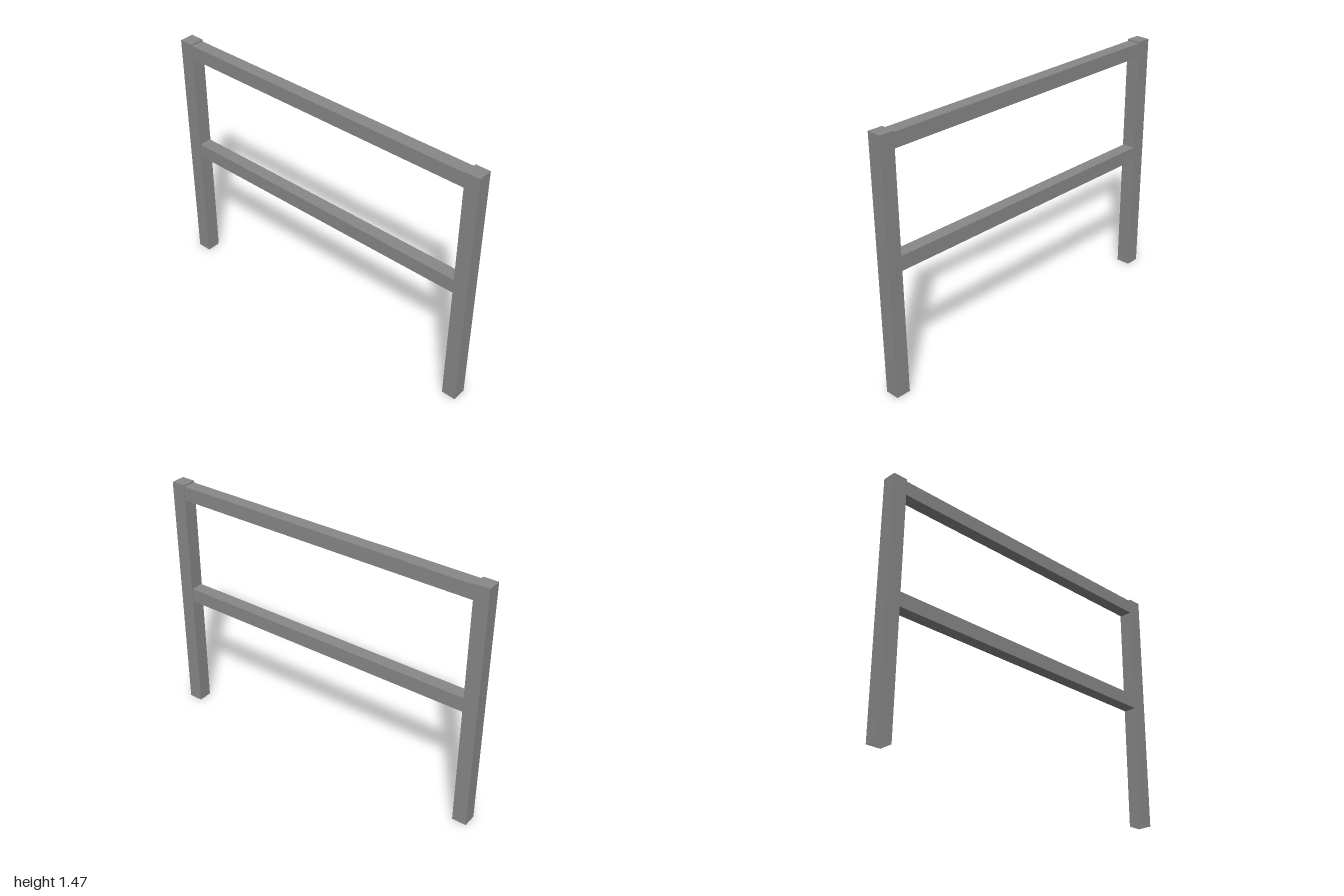
import * as THREE from 'three';

const HALF = 1, HEIGHT = 1.467, POST = 0.084, RAIL_DEPTH = 0.075;

const material = new THREE.MeshStandardMaterial({
  color: 0x888888, side: THREE.DoubleSide,
});

// Box without some faces; sides are numbered +x, -x, +y, -y, +z, -z
function openBox(w, h, d, openSides) {
  const geometry = new THREE.BoxGeometry(w, h, d);
  const index = Array.from(geometry.index.array)
    .filter((_, i) => !openSides.includes(Math.floor(i / 6)));
  geometry.setIndex(index);
  geometry.clearGroups();
  return geometry;
}

function addPart(group, name, geometry, x, y) {
  const mesh = new THREE.Mesh(geometry, material);
  mesh.name = name;
  mesh.position.set(x, y, 0);
  group.add(mesh);
}

export function createModel() {
  const group = new THREE.Group();
  group.name = 'railing';

  // Square posts, open at the foot
  for (const [name, side] of [['leftPost', 1], ['rightPost', -1]]) {
    addPart(group, name, openBox(POST, HEIGHT, POST, [3]),
      side * (HALF - POST / 2), HEIGHT / 2);
  }

  // Rails butting against the inner faces of the posts
  const length = 2 * (HALF - POST);
  for (const [name, bottom, top] of [['topRail', 1.375, 1.458], ['middleRail', 0.721, 0.805]]) {
    addPart(group, name, openBox(length, top - bottom, RAIL_DEPTH, [0, 1]),
      0, (top + bottom) / 2);
  }
  return group;
}
